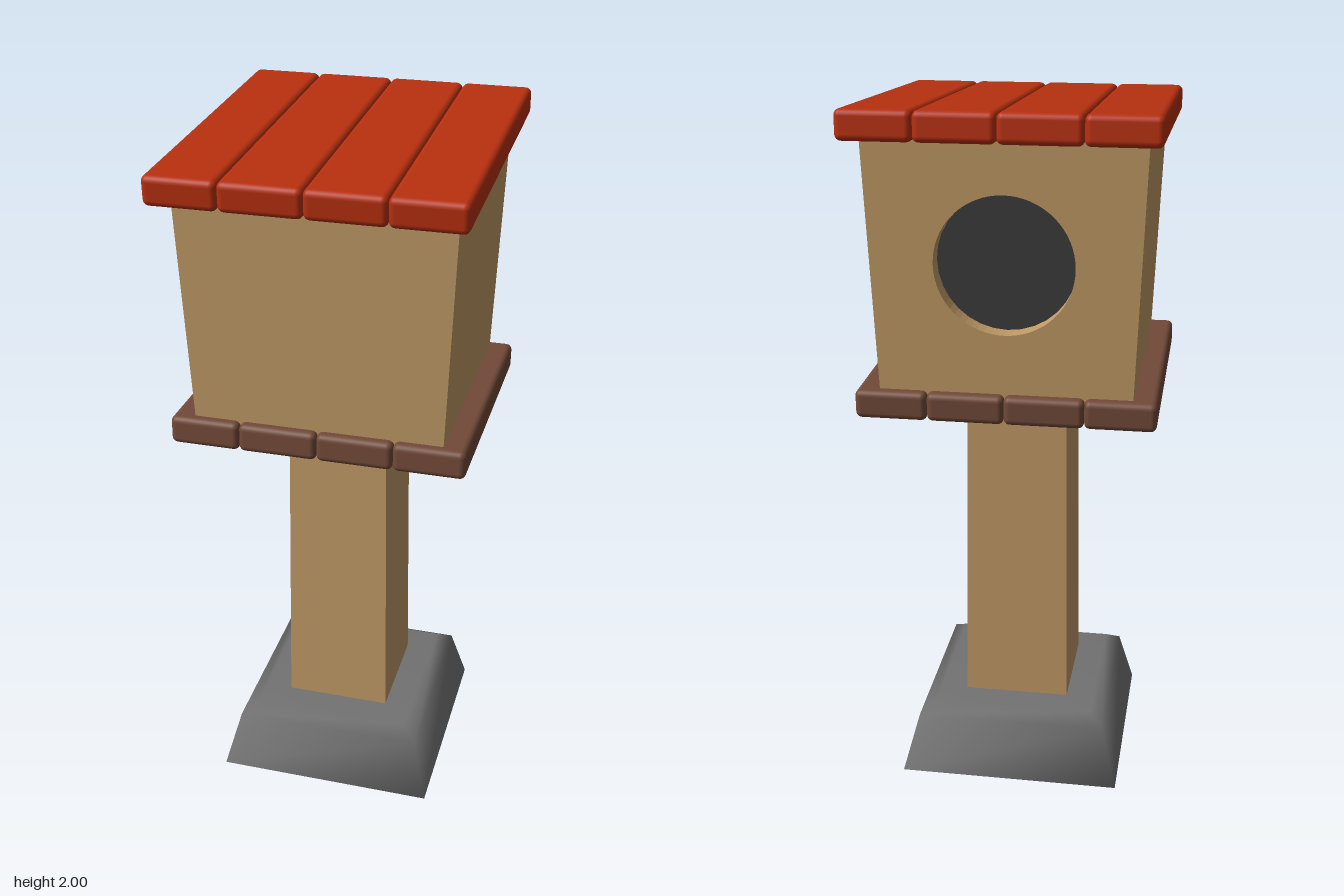
import * as THREE from 'three';
import { RoundedBoxGeometry } from 'three/addons/geometries/RoundedBoxGeometry.js';

const mat = (name, color, opts = {}) => {
  const m = new THREE.MeshStandardMaterial({ color, ...opts });
  m.name = name;
  return m;
};

// Solid with rectangular cross-sections; each ring is [halfX, y, backZ, frontZ, ySlope]
function loft(rings, smooth) {
  const pos = [], idx = [];
  for (const [x, y, z0, z1, slope = 0] of rings) {
    for (const [px, pz] of [[-x, z1], [x, z1], [x, z0], [-x, z0]]) pos.push(px, y + slope * pz, pz);
  }
  const n = rings.length;
  for (let r = 0; r < n - 1; r++) {
    for (let i = 0; i < 4; i++) {
      const a = r * 4 + i, b = r * 4 + (i + 1) % 4;
      idx.push(a, b, b + 4, a, b + 4, a + 4);
    }
  }
  const t = (n - 1) * 4;
  idx.push(t, t + 1, t + 2, t, t + 2, t + 3);
  // separate bottom corners keep the lower edge sharp
  pos.push(...pos.slice(0, 12));
  const u = n * 4;
  idx.push(u, u + 2, u + 1, u, u + 3, u + 2);
  let g = new THREE.BufferGeometry();
  g.setAttribute('position', new THREE.Float32BufferAttribute(pos, 3));
  g.setIndex(idx);
  if (!smooth) g = g.toNonIndexed();
  g.computeVertexNormals();
  return g;
}

export function createModel() {
  const wood = mat('light wood', 0xc09a66);
  const red = mat('red paint', 0xb8300f);
  const brown = mat('dark wood', 0x724a39);
  const stone = mat('stone', 0x727272);
  const dark = mat('dark interior', 0x3c3c3c);
  const model = new THREE.Group();
  const add = (name, geo, m, parent = model) => {
    const mesh = new THREE.Mesh(geo, m);
    mesh.name = name;
    parent.add(mesh);
    return mesh;
  };

  // Stone foot and tapering post
  add('base', loft([[0.322, 0, -0.33, 0.33], [0.278, 0.17, -0.285, 0.285], [0.235, 0.2, -0.24, 0.24]], true), stone);
  add('post', loft([[0.155, 0.15, -0.157, 0.157], [0.142, 1.19, -0.145, 0.145]]), wood);

  // House: solid front portion plus a back wall with a round entrance
  const y0 = 1.22, y1 = 1.905, slope = -0.043, depth = 0.06;
  const hx0 = 0.345, hx1 = 0.371, hz0 = 0.35, hz1 = 0.372;
  const holeY = 1.59, holeR = 0.188;
  const backZ = y => -(hz0 + (hz1 - hz0) * (y - y0) / (y1 - y0));
  const house = new THREE.Group();
  house.name = 'house';
  model.add(house);
  add('houseBody', loft([
    [hx0, y0, backZ(y0) + depth, hz0],
    [hx1, y1, backZ(y1) + depth, hz1, slope],
  ]), wood, house);

  const lean = g => {
    const p = g.attributes.position;
    for (let i = 0; i < p.count; i++) p.setZ(i, p.getZ(i) + backZ(p.getY(i)));
    g.computeVertexNormals();
    return g;
  };
  const topY = y1 + 0.015;
  const wall = new THREE.Shape([
    new THREE.Vector2(-hx0, y0), new THREE.Vector2(hx0, y0),
    new THREE.Vector2(hx1, topY), new THREE.Vector2(-hx1, topY),
  ]);
  wall.holes.push(new THREE.Path().absarc(0, holeY, holeR, 0, Math.PI * 2, true));
  add('backWall', lean(new THREE.ExtrudeGeometry(wall, { depth, bevelEnabled: false, curveSegments: 32 })), wood, house);

  // Dark plate at the bottom of the entrance, facing backwards
  const disc = new THREE.CircleGeometry(holeR, 32).rotateY(Math.PI).translate(0, holeY, depth - 0.005);
  add('entrance', lean(disc), dark, house);

  // Rows of rounded planks, running front to back
  const cuts = [-0.411, -0.216, 0.002, 0.213, 0.411];
  const planks = (name, y, length, thick, tilt, m) => {
    const group = new THREE.Group();
    group.name = name;
    group.position.y = y;
    group.rotation.x = tilt;
    for (let i = 0; i < 4; i++) {
      const w = cuts[i + 1] - cuts[i];
      const plank = add(name + 'Plank', new RoundedBoxGeometry(w, thick, length, 3, 0.017), m, group);
      plank.position.x = (cuts[i] + cuts[i + 1]) / 2;
    }
    model.add(group);
  };
  planks('floor', 1.204, 0.76, 0.08, -0.024, brown);
  planks('roof', 1.94, 0.93, 0.08, 0.043, red);

  return model;
}
